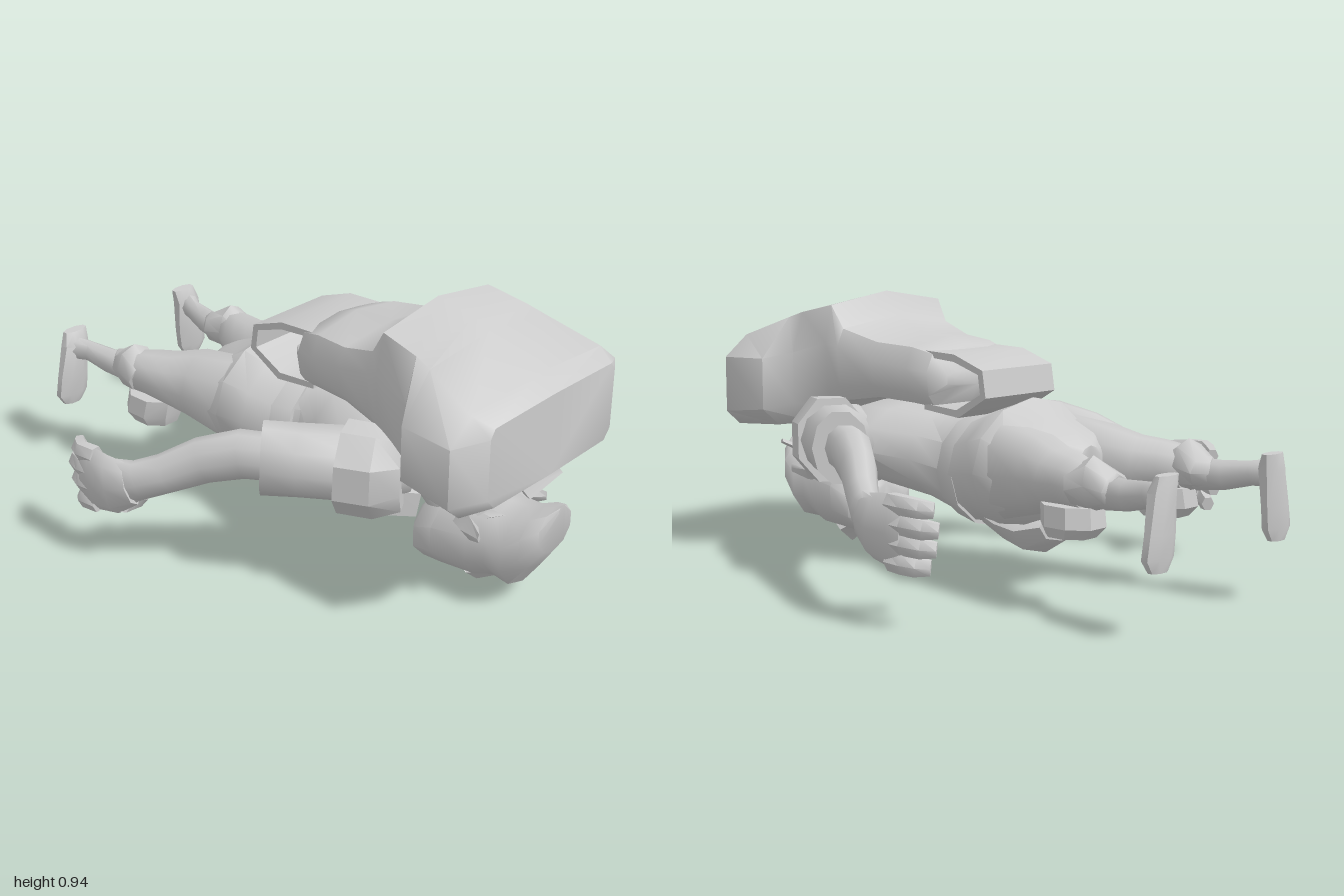
import * as THREE from 'three';
import { toCreasedNormals } from 'three/addons/utils/BufferGeometryUtils.js';

const V = (x, y, z) => new THREE.Vector3(x, y, z);
const Y = V(0, 1, 0), Z = V(0, 0, 1);

// Skin a list of equal-length point rings, with end caps
function skin(rings, crease = 0.9) {
  const n = rings[0].length, pos = [], idx = [];
  rings.forEach(r => r.forEach(p => pos.push(p.x, p.y, p.z)));
  for (let i = 0; i < rings.length - 1; i++) {
    for (let j = 0; j < n; j++) {
      const a = i * n + j, b = i * n + (j + 1) % n;
      idx.push(a, b, b + n, a, b + n, a + n);
    }
  }
  const last = (rings.length - 1) * n;
  for (let j = 1; j < n - 1; j++) {
    idx.push(0, j + 1, j, last, last + j, last + j + 1);
  }
  const g = new THREE.BufferGeometry();
  g.setAttribute('position', new THREE.Float32BufferAttribute(pos, 3));
  g.setIndex(idx);
  return toCreasedNormals(g, crease);
}

// Loft ellipses along a path; each section is [x, y, z, halfWidth, halfHeight]
function loft(path, { sides = 10, up = Y, dir = null, turn = 0, crease } = {}) {
  const c = path.map(p => V(p[0], p[1], p[2]));
  return skin(path.map((p, i) => {
    const t = dir ? dir.clone()
      : c[Math.min(i + 1, c.length - 1)].clone().sub(c[Math.max(i - 1, 0)]).normalize();
    const side = up.clone().cross(t).normalize(), top = t.clone().cross(side);
    return Array.from({ length: sides }, (_, k) => {
      const a = turn + k / sides * Math.PI * 2;
      return c[i].clone().addScaledVector(side, Math.cos(a) * p[3])
        .addScaledVector(top, Math.sin(a) * p[4]);
    });
  }), crease);
}

// Sections across z given as [z, bottom, top, halfWidth]
const body = (rows, sides = 12) => loft(
  rows.map(([z, b, t, w]) => [0, (b + t) / 2, z, w, (t - b) / 2]),
  { sides, dir: Z, turn: Math.PI / 2 });

export function createModel() {
  const root = new THREE.Group();
  const grey = new THREE.MeshStandardMaterial({ color: 0xcccccc });
  grey.name = 'plain grey';
  const add = (name, geometry) => {
    const m = new THREE.Mesh(geometry, grey);
    m.name = name;
    root.add(m);
    return m;
  };

  // Backpack: z, bottom y, bottom corner, lower side, upper side, top corner, top y
  const pack = [
    [0.03, 0.65, 0.1, 0.65, 0.15, 0.66, 0.15, 0.69, 0.1, 0.7, 0.7],
    [0.08, 0.57, 0.16, 0.58, 0.19, 0.62, 0.2, 0.7, 0.17, 0.76, 0.78],
    [0.16, 0.58, 0.18, 0.59, 0.21, 0.63, 0.22, 0.71, 0.19, 0.78, 0.81],
    [0.3, 0.59, 0.21, 0.6, 0.24, 0.64, 0.25, 0.73, 0.22, 0.79, 0.81],
    [0.44, 0.57, 0.24, 0.58, 0.27, 0.63, 0.28, 0.77, 0.25, 0.83, 0.865],
    [0.49, 0.55, 0.25, 0.56, 0.28, 0.61, 0.29, 0.78, 0.26, 0.91, 0.95],
    [0.63, 0.49, 0.28, 0.5, 0.32, 0.56, 0.32, 0.74, 0.275, 0.88, 0.92],
    [0.69, 0.47, 0.34, 0.48, 0.41, 0.54, 0.41, 0.72, 0.285, 0.86, 0.89],
    [0.88, 0.465, 0.37, 0.47, 0.425, 0.52, 0.425, 0.715, 0.33, 0.79, 0.81],
    [0.945, 0.49, 0.29, 0.495, 0.32, 0.53, 0.32, 0.73, 0.3, 0.76, 0.765],
  ];
  add('backpack', skin(pack.map(r => {
    const right = [];
    for (let k = 2; k < 10; k += 2) right.push(V(r[k], r[k + 1], r[0]));
    const left = right.map(p => V(-p.x, p.y, p.z)).reverse();
    return [V(0, r[1], r[0]), ...right, V(0, r[10], r[0]), ...left];
  }), 0.85));

  // Open band looping out of the lower end of the pack
  const outer = [[0.12, 0.77], [-0.02, 0.765], [-0.15, 0.72], [-0.165, 0.63], [-0.04, 0.555], [0.12, 0.57]];
  const inner = [[0.12, 0.59], [-0.03, 0.58], [-0.14, 0.64], [-0.13, 0.705], [-0.02, 0.74], [0.12, 0.75]];
  const band = new THREE.Shape([...outer, ...inner].map(p => new THREE.Vector2(-p[0], p[1])));
  const bandGeo = new THREE.ExtrudeGeometry(band, { depth: 0.34, bevelEnabled: false });
  bandGeo.translate(0, 0, -0.17).rotateY(Math.PI / 2);
  add('packLoop', toCreasedNormals(bandGeo, 0.9));

  // Torso and hips
  add('torso', body([
    [-0.47, 0.35, 0.49, 0.06], [-0.4, 0.26, 0.53, 0.22], [-0.3, 0.2, 0.57, 0.265],
    [-0.22, 0.18, 0.625, 0.29], [-0.13, 0.19, 0.59, 0.26], [-0.04, 0.18, 0.56, 0.225],
    [0.05, 0.2, 0.55, 0.18], [0.15, 0.24, 0.56, 0.22], [0.32, 0.27, 0.57, 0.29],
    [0.46, 0.29, 0.57, 0.3], [0.56, 0.34, 0.52, 0.2],
  ]));
  add('belt', body([
    [-0.07, 0.17, 0.565, 0.235], [0.03, 0.19, 0.555, 0.205],
  ]));
  add('frontPouch', body([
    [-0.35, 0.16, 0.28, 0.11], [-0.28, 0.11, 0.3, 0.16], [-0.2, 0.14, 0.3, 0.17], [-0.08, 0.18, 0.3, 0.13],
  ], 8));
  add('neck', loft([[0, 0.42, 0.42, 0.17, 0.12], [0, 0.37, 0.54, 0.13, 0.1], [0, 0.26, 0.64, 0.11, 0.1]]));

  // Head, facing down
  add('head', body([
    [0.5, 0.08, 0.25, 0.1], [0.54, 0.055, 0.29, 0.16], [0.62, 0.06, 0.34, 0.175],
    [0.74, 0.06, 0.35, 0.15], [0.81, 0.09, 0.345, 0.145], [0.87, 0.075, 0.35, 0.14],
    [0.93, 0.16, 0.375, 0.13], [0.975, 0.23, 0.39, 0.09], [0.998, 0.37, 0.4, 0.02],
  ], 10));
  add('nose', loft([
    [0, 0.09, 0.62, 0.055, 0.02], [0, 0.055, 0.69, 0.06, 0.05], [0, 0.08, 0.78, 0.02, 0.02],
  ], { sides: 4, dir: Z, crease: 0.4 }));

  for (const s of [1, -1]) {
    const side = s > 0 ? 'left' : 'right';
    const limb = (name, path, opts) =>
      add(side + name, loft(path.map(([x, ...r]) => [s * x, ...r]), opts));

    // Ear and hair tuft
    limb('Ear', [[0.11, 0.28, 0.7, 0.03, 0.04], [0.15, 0.29, 0.76, 0.03, 0.04], [0.18, 0.29, 0.82, 0.005, 0.015]], { sides: 4 });
    limb('HairTuft', [[0.09, 0.33, 0.79, 0.05, 0.015], [0.2, 0.39, 0.85, 0.02, 0.008]], { sides: 4 });

    // Sleeve, shoulder pad and collar flap
    limb('Sleeve', [
      [0.18, 0.45, 0.5, 0.12, 0.11], [0.3, 0.46, 0.44, 0.13, 0.12],
      [0.41, 0.46, 0.28, 0.115, 0.12], [0.485, 0.465, 0.19, 0.095, 0.125],
    ]);
    limb('ShoulderPad', [
      [0.25, 0.45, 0.57, 0.06, 0.13], [0.29, 0.45, 0.5, 0.125, 0.155], [0.34, 0.455, 0.4, 0.13, 0.155],
    ], { sides: 8, turn: Math.PI / 8, crease: 0.5 });
    limb('CollarFlap', [
      [0.16, 0.32, 0.56, 0.05, 0.06], [0.24, 0.34, 0.48, 0.08, 0.06], [0.28, 0.36, 0.35, 0.06, 0.08],
    ], { sides: 4, turn: Math.PI / 4, crease: 0.5 });

    // Forearm and hand
    limb('Forearm', [
      [0.45, 0.465, 0.23, 0.065, 0.08], [0.5, 0.46, 0.12, 0.07, 0.082],
      [0.57, 0.425, 0.01, 0.06, 0.078], [0.645, 0.37, -0.09, 0.052, 0.068],
      [0.695, 0.34, -0.16, 0.048, 0.068], [0.72, 0.315, -0.23, 0.045, 0.085],
    ]);
    limb('Palm', [
      [0.71, 0.325, -0.18, 0.045, 0.075], [0.73, 0.305, -0.25, 0.048, 0.105],
      [0.735, 0.3, -0.33, 0.04, 0.115], [0.735, 0.295, -0.38, 0.03, 0.105],
    ], { sides: 8 });
    for (let i = 0; i < 4; i++) {
      const y = 0.385 - i * 0.058, tip = [-0.455, -0.475, -0.465, -0.44][i];
      limb('Finger' + (i + 1), [
        [0.735, y, -0.32, 0.032, 0.034], [0.743, y, -0.38, 0.03, 0.035],
        [0.72, y - 0.008, tip + 0.035, 0.029, 0.034], [0.69, y - 0.012, tip, 0.022, 0.026],
      ], { sides: 6 });
    }
    limb('Thumb', [
      [0.71, 0.25, -0.23, 0.04, 0.05], [0.65, 0.215, -0.26, 0.042, 0.038],
      [0.61, 0.195, -0.275, 0.04, 0.032], [0.585, 0.18, -0.29, 0.03, 0.018],
    ], { sides: 6 });

    // Leg, cuff, knee pad and foot
    limb('Thigh', [
      [0.15, 0.4, -0.26, 0.12, 0.16], [0.165, 0.41, -0.42, 0.12, 0.13],
      [0.195, 0.41, -0.52, 0.105, 0.1], [0.22, 0.415, -0.6, 0.09, 0.085], [0.24, 0.41, -0.67, 0.07, 0.075],
    ]);
    limb('Cuff', [
      [0.25, 0.405, -0.62, 0.07, 0.06], [0.24, 0.425, -0.685, 0.075, 0.085],
      [0.225, 0.41, -0.75, 0.065, 0.055], [0.235, 0.41, -0.78, 0.035, 0.05],
    ], { sides: 8 });
    limb('Shin', [
      [0.23, 0.4, -0.72, 0.045, 0.055], [0.245, 0.405, -0.82, 0.04, 0.048],
      [0.26, 0.42, -0.91, 0.03, 0.04], [0.285, 0.425, -0.97, 0.04, 0.045],
    ], { sides: 8 });
    limb('KneePad', [[0.23, 0.35, -0.59, 0.09, 0.11], [0.235, 0.285, -0.6, 0.095, 0.11], [0.235, 0.25, -0.59, 0.075, 0.085]],
      { sides: 8, up: Z, dir: V(0, -1, 0), turn: Math.PI / 8, crease: 0.6 });
    limb('Foot', [
      [0.27, 0.49, -0.98, 0.05, 0.022], [0.28, 0.44, -0.972, 0.055, 0.04],
      [0.295, 0.32, -0.978, 0.065, 0.03], [0.305, 0.25, -0.978, 0.068, 0.03], [0.305, 0.21, -0.98, 0.04, 0.022],
    ], { sides: 8, up: Z, dir: V(0, -1, 0), turn: Math.PI / 8 });
  }
  return root;
}
